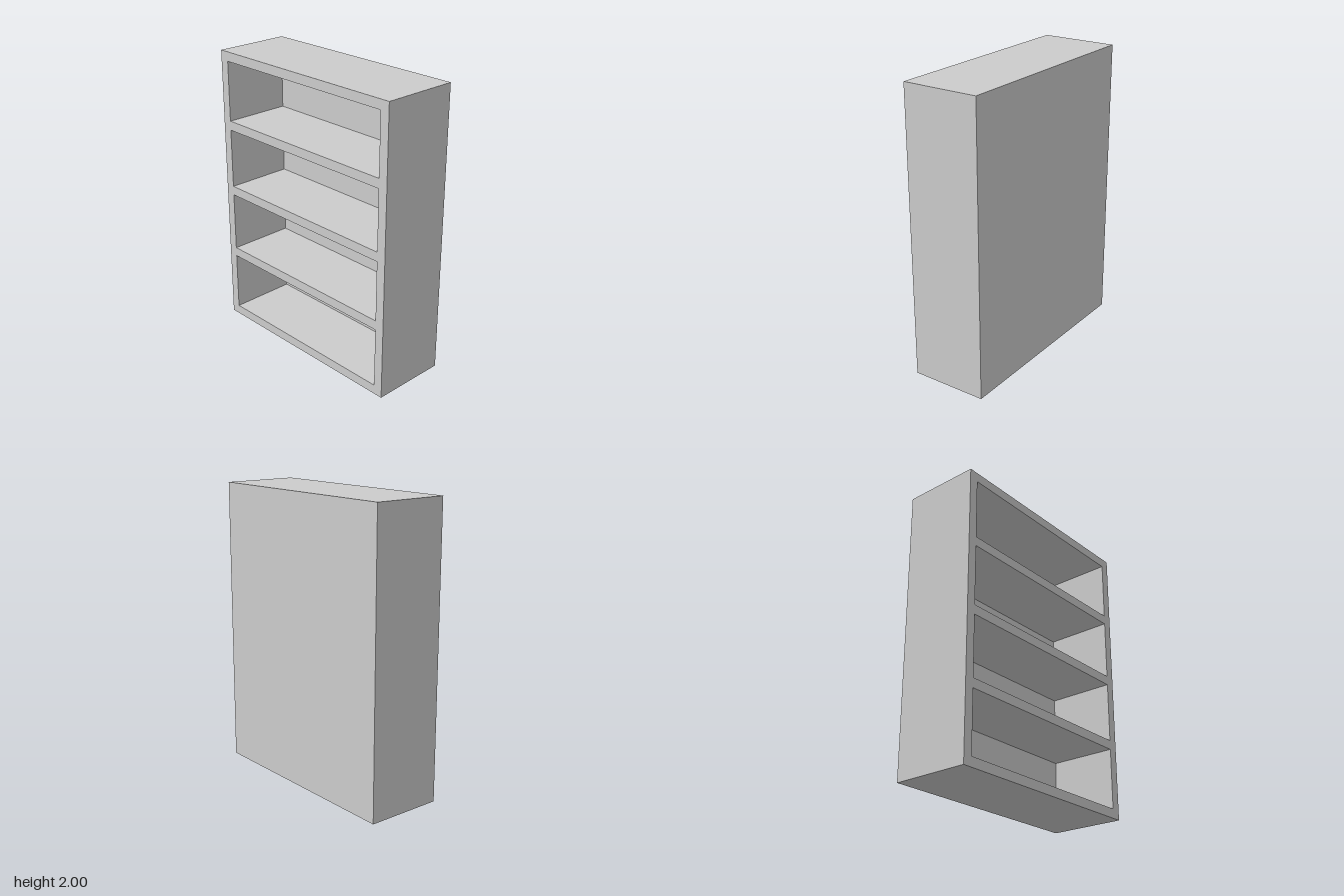
import * as THREE from 'three';

const W = 1.53, H = 2, D = 0.533; // overall size
const T = 0.065;                  // board thickness
const BACK = 0.06;                // back panel thickness
const BAYS = 4;

function rectangle(path, x0, y0, x1, y1) {
  path.moveTo(x0, y0);
  path.lineTo(x1, y0);
  path.lineTo(x1, y1);
  path.lineTo(x0, y1);
  path.closePath();
  return path;
}

export function createModel() {
  const group = new THREE.Group();
  group.name = 'bookcase';
  const material = new THREE.MeshStandardMaterial({ color: 0xcccccc });

  // Sides, top, bottom and shelves: one slab with an opening per bay
  const shape = rectangle(new THREE.Shape(), -W / 2, 0, W / 2, H);
  const pitch = (H - T) / BAYS;
  for (let i = 0; i < BAYS; i++) {
    const y = T + i * pitch;
    shape.holes.push(rectangle(new THREE.Path(), -W / 2 + T, y, W / 2 - T, y + pitch - T));
  }
  const frame = new THREE.Mesh(
    new THREE.ExtrudeGeometry(shape, { depth: D - BACK, bevelEnabled: false }), material);
  frame.name = 'frameAndShelves';
  frame.position.z = -D / 2 + BACK;
  group.add(frame);

  // Closed back
  const back = new THREE.Mesh(new THREE.BoxGeometry(W, H, BACK), material);
  back.name = 'backPanel';
  back.position.set(0, H / 2, -D / 2 + BACK / 2);
  group.add(back);

  return group;
}
